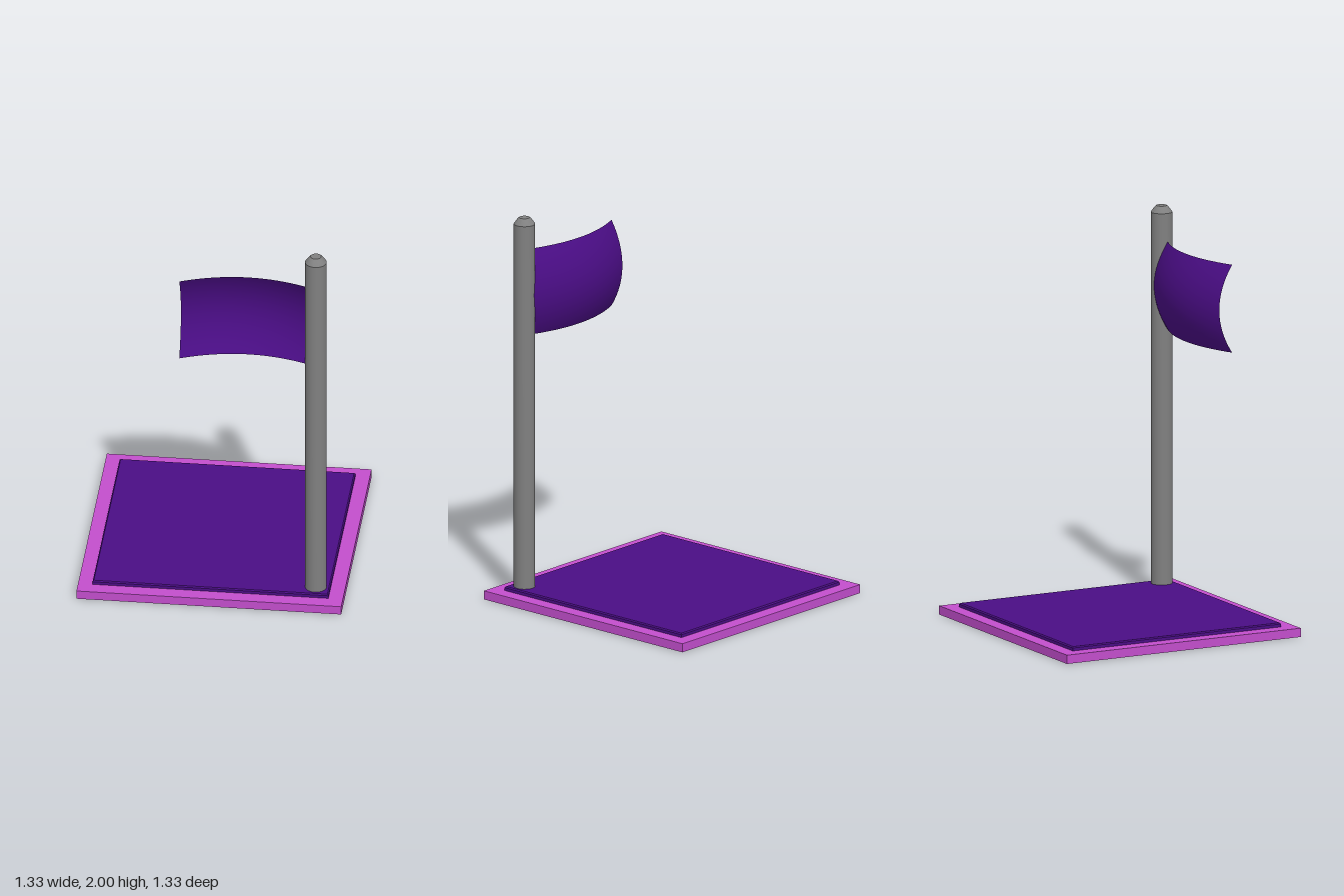
import * as THREE from 'three';
import { ParametricGeometry } from 'three/addons/geometries/ParametricGeometry.js';
import { toCreasedNormals } from 'three/addons/utils/BufferGeometryUtils.js';

const material = (name, color, side = THREE.FrontSide) => {
  const m = new THREE.MeshStandardMaterial({ color, side });
  m.name = name;
  return m;
};

export function createModel() {
  const group = new THREE.Group();
  group.name = 'flagOnBase';
  const orchid = material('orchid', 0xc24ecc);
  const purple = material('purple', 0x4a0d85, THREE.DoubleSide);
  const grey = material('grey', 0x808080);

  const add = (name, geometry, mat, x, y, z) => {
    const mesh = new THREE.Mesh(geometry, mat);
    mesh.name = name;
    mesh.position.set(x, y, z);
    group.add(mesh);
  };

  // Square base with a slightly smaller slab on top
  add('base', new THREE.BoxGeometry(1.334, 0.045, 1.334), orchid, 0, 0.0225, 0);

  // Slab: a four-sided frustum with a narrow chamfer round its top edge
  const slab = new THREE.LatheGeometry(
    [[0, 0], [0.594, 0], [0.594, 0.016], [0.588, 0.022], [0, 0.022]]
      .map(([r, y]) => new THREE.Vector2(r * Math.SQRT2, y)), 4);
  slab.rotateY(Math.PI / 4);
  add('slab', toCreasedNormals(slab, 0.3), purple, 0, 0.044, 0);

  // Round pole with a chamfered tip
  const pole = new THREE.LatheGeometry(
    [[0, 0.05], [0.054, 0.05], [0.054, 1.967], [0.034, 1.994], [0.027, 2], [0, 2]]
      .map(([r, y]) => new THREE.Vector2(r, y)), 32);
  add('pole', toCreasedNormals(pole, 0.4), grey, 0.523, 0, 0.523);

  // Flag: a sheet bulging backwards in both directions
  const flag = new ParametricGeometry((u, v, p) => {
    const a = 2 * u - 1, b = 2 * v - 1;
    p.set(a * 0.342, b * 0.225, 0.078 * a * a + 0.073 * b * b);
  }, 24, 16);
  add('flag', flag, purple, 0.18, 1.597, 0.4);

  return group;
}
